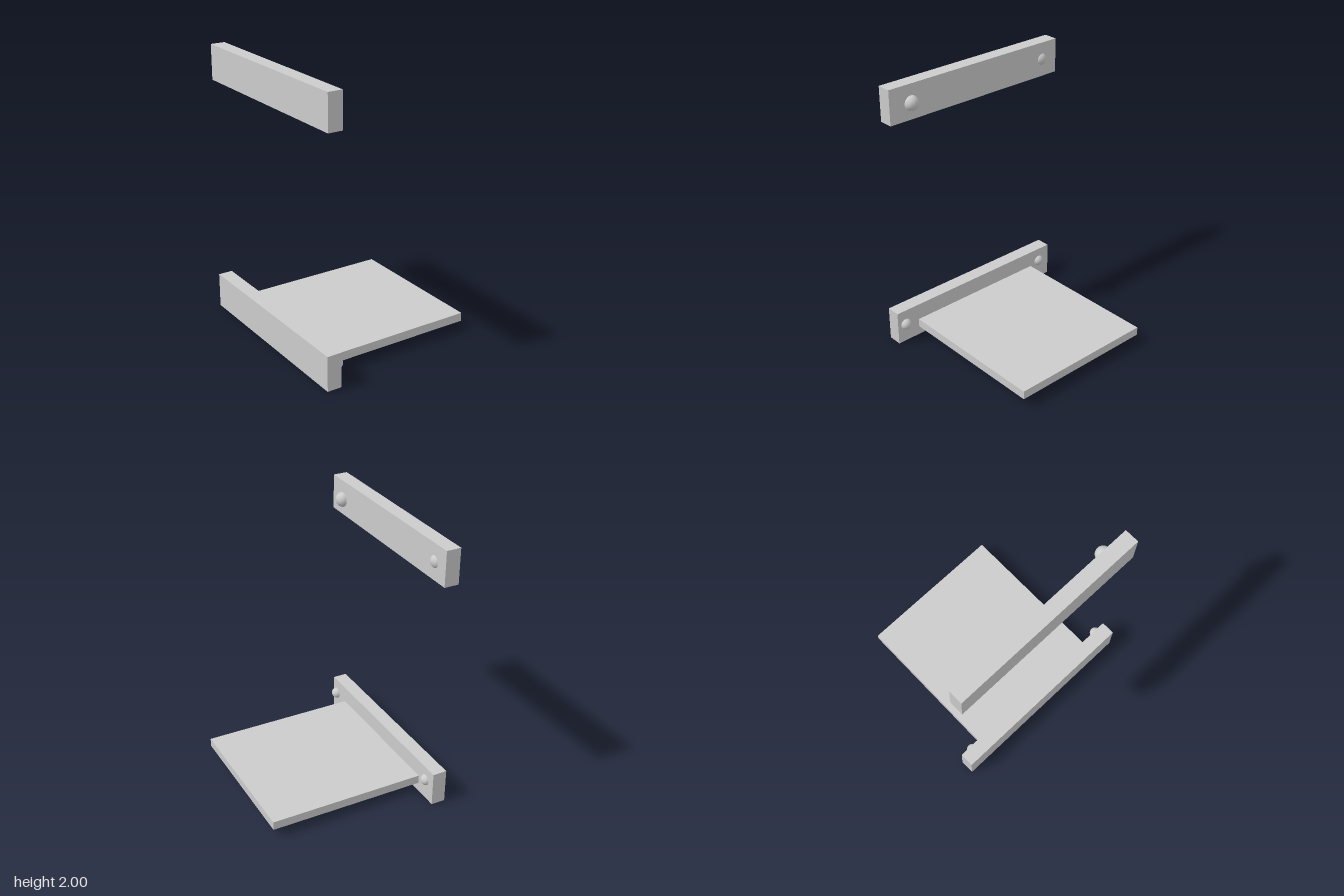
import * as THREE from 'three';

const material = new THREE.MeshStandardMaterial({ color: 0xcccccc });

// Box given by its lower and upper corners
function block(name, [x0, y0, z0], [x1, y1, z1]) {
  const mesh = new THREE.Mesh(new THREE.BoxGeometry(x1 - x0, y1 - y0, z1 - z0), material);
  mesh.position.set((x0 + x1) / 2, (y0 + y1) / 2, (z0 + z1) / 2);
  mesh.name = name;
  return mesh;
}

// Half ball bulging towards +x, closed by a flat disc at the back
function knob(name, radius, x, y, z) {
  const group = new THREE.Group();
  const dome = new THREE.SphereGeometry(radius, 32, 12, 0, Math.PI * 2, 0, Math.PI / 2).rotateZ(-Math.PI / 2);
  const back = new THREE.CircleGeometry(radius, 32).rotateY(-Math.PI / 2);
  group.add(new THREE.Mesh(dome, material), new THREE.Mesh(back, material));
  group.position.set(x, y, z);
  group.name = name;
  return group;
}

export function createModel() {
  const model = new THREE.Group();
  model.name = 'wallShelf';

  // Upper rail with its two knobs
  model.add(
    block('upperRail', [-0.603, 1.745, -0.76], [-0.497, 2, 0.733]),
    knob('upperFrontKnob', 0.054, -0.484, 1.87, 0.566),
    knob('upperBackKnob', 0.052, -0.527, 1.872, -0.627),
  );

  // Lower rail with its two knobs
  model.add(
    block('lowerRail', [-0.633, 0, -0.733], [-0.527, 0.257, 0.76]),
    knob('lowerFrontKnob', 0.042, -0.521, 0.147, 0.695),
    knob('lowerBackKnob', 0.042, -0.535, 0.152, -0.633),
  );

  // Flat shelf reaching out from the lower rail
  model.add(block('shelf', [-0.53, 0.067, -0.548], [0.633, 0.131, 0.573]));

  return model;
}
